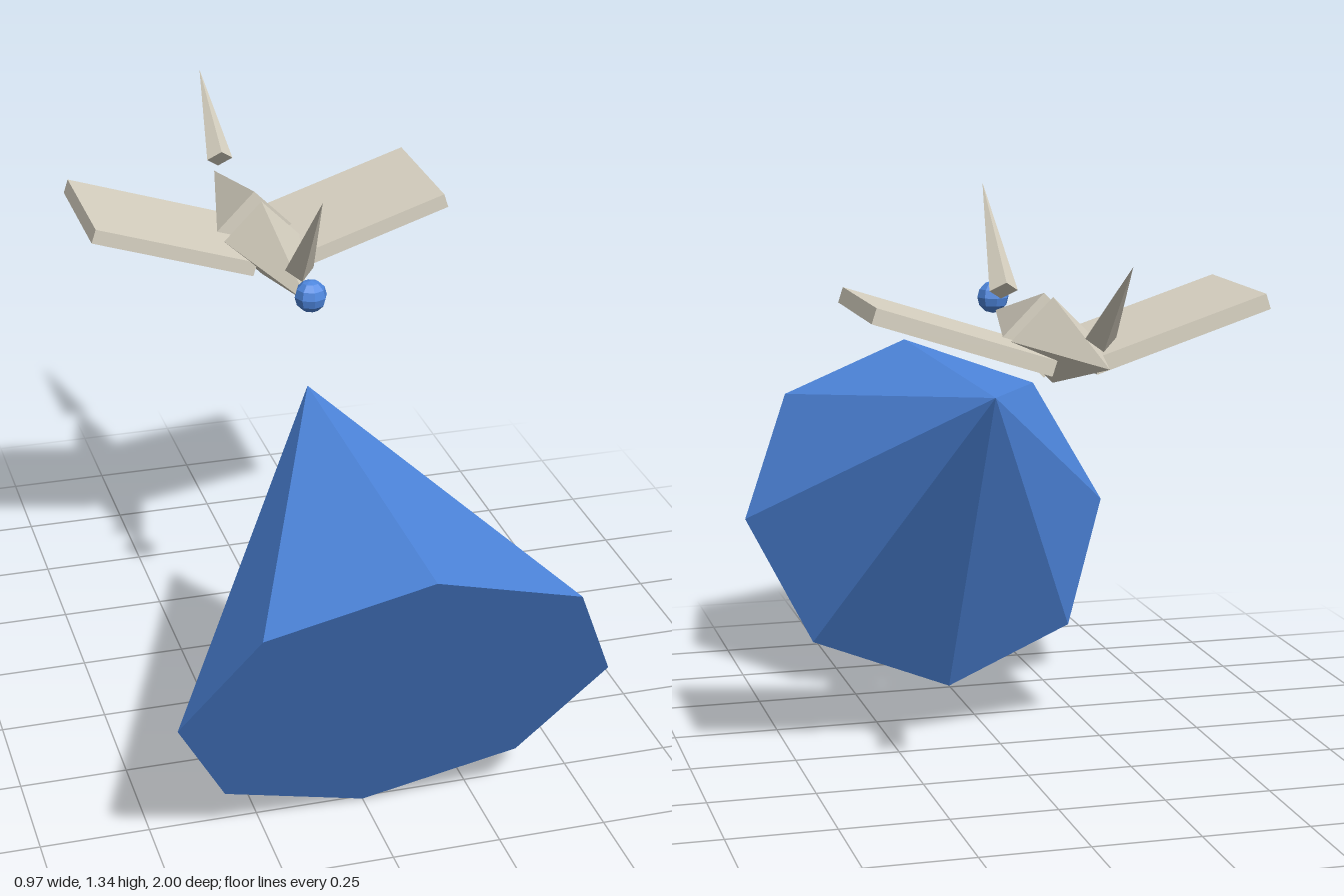
import * as THREE from 'three';

export function createModel() {
  const group = new THREE.Group();
  const blue = new THREE.MeshStandardMaterial({ color: 0x4f88e0, flatShading: true });
  blue.name = 'blue';
  const cream = new THREE.MeshStandardMaterial({ color: 0xd9d3c3, flatShading: true });
  cream.name = 'cream';

  const add = (name, geometry, material) => {
    const mesh = new THREE.Mesh(geometry, material);
    mesh.name = name;
    group.add(mesh);
    return mesh;
  };

  // Cone running from a base centre to its tip, both on the x = 0 plane as [y, z]
  const coneBetween = (name, base, tip, radius, sides, material) => {
    const dy = tip[0] - base[0], dz = tip[1] - base[1];
    const mesh = add(name, new THREE.ConeGeometry(radius, Math.hypot(dy, dz), sides), material);
    mesh.position.set(0, (base[0] + tip[0]) / 2, (base[1] + tip[1]) / 2);
    mesh.rotation.x = Math.atan2(dz, dy);
  };

  // Large tilted cone below the flyer
  coneBetween('largeCone', [0.421, 0.757], [0.841, 0.041], 0.485, 8, blue);

  // Body: two four-sided cones, back to back with a gap
  coneBetween('frontBody', [1.05, -0.369], [1.05, 0.043], 0.094, 4, cream);
  coneBetween('rearBody', [1.05, -0.438], [1.05, -0.85], 0.094, 4, cream);

  // Upright spikes above each end
  coneBetween('frontSpike', [1.105, -0.03], [1.338, 0.163], 0.034, 4, cream);
  coneBetween('tailSpike', [1.105, -0.786], [1.276, -0.995], 0.033, 4, cream);

  // Small ball at the nose
  add('noseBall', new THREE.SphereGeometry(0.038, 8, 6), blue).position.set(0, 1.078, 0.067);

  // Raised slab wings
  for (const side of [1, -1]) {
    const wing = add(side > 0 ? 'leftWing' : 'rightWing', new THREE.BoxGeometry(0.408, 0.035, 0.343), cream);
    wing.position.set(side * 0.238, 1.078, -0.434);
    wing.rotation.z = side * Math.PI / 10;
  }
  return group;
}
